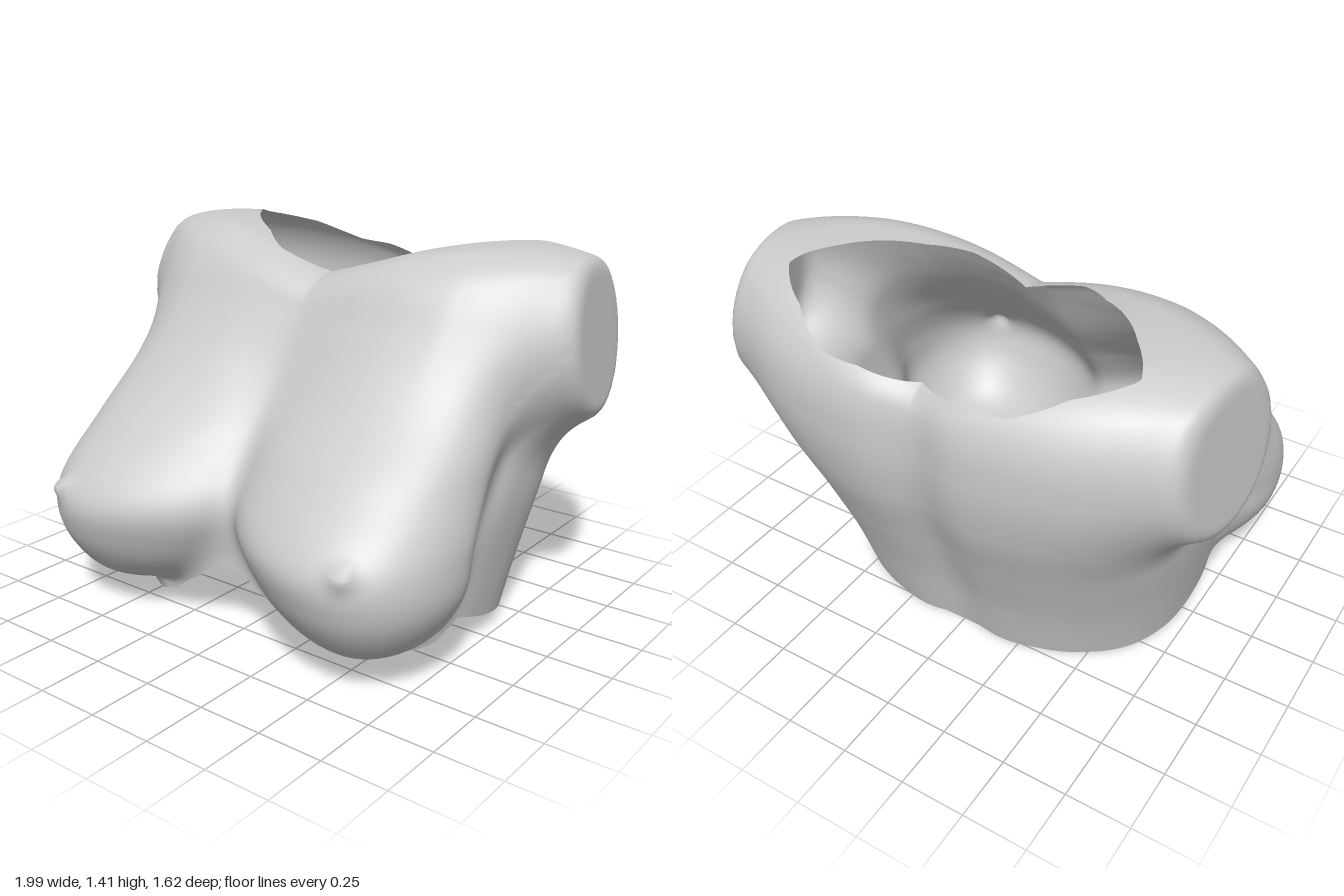
import * as THREE from 'three';

const { clamp, lerp } = THREE.MathUtils;

// Smooth blends for joining and cutting rounded volumes
const smin = (a, b, k) => {
  const h = Math.max(k - Math.abs(a - b), 0) / k;
  return Math.min(a, b) - h * h * k * 0.25;
};
const smax = (a, b, k) => -smin(-a, -b, k);
const norm = (a, b, e) => Math.pow(Math.abs(a) ** e + Math.abs(b) ** e, 1 / e);

// Rib cage sections by height: back z, front z, half width
const ribs = new THREE.CubicInterpolant([-0.1, 0, 0.25, 0.5, 0.75, 1.0, 1.2, 1.32, 1.45], [
  -0.50, 0.55, 0.71,
  -0.53, 0.56, 0.72,
  -0.60, 0.56, 0.76,
  -0.69, 0.53, 0.80,
  -0.78, 0.38, 0.82,
  -0.815, 0.21, 0.85,
  -0.79, 0.08, 0.86,
  -0.71, 0.02, 0.84,
  -0.55, -0.08, 0.78,
], 3, new Float32Array(3));

function ribCage(x, y, z) {
  const [back, front, w] = ribs.evaluate(clamp(y, -0.1, 1.45));
  const cz = (back + front) / 2, rz = (front - back) / 2;
  const up = clamp(y, 0, 1);
  const e = z < cz ? 2.3 + 0.5 * up : 2.4;
  const d = (norm(x / w, (z - cz) / rz, e) - 1) * Math.min(w, rz);
  // spine groove
  return z < cz ? d + (0.03 + 0.025 * up) * Math.exp(-((x / 0.13) ** 2)) : d;
}

// Chest and bust sections by height: inner x, outer x, centre z, front z
const chestRows = new THREE.CubicInterpolant([0.1, 0.14, 0.2, 0.33, 0.48, 0.7, 0.9, 1.13, 1.3, 1.45], [
  0.38, 0.67, 0.42, 0.60,
  0.27, 0.73, 0.42, 0.65,
  0.17, 0.79, 0.42, 0.71,
  0.05, 0.86, 0.41, 0.785,
  -0.03, 0.87, 0.38, 0.80,
  -0.07, 0.84, 0.23, 0.61,
  -0.09, 0.83, 0.05, 0.39,
  -0.12, 0.85, -0.12, 0.20,
  -0.14, 0.85, -0.22, 0.09,
  -0.14, 0.83, -0.30, -0.06,
], 4, new Float32Array(4));

function chest(x, y, z) {
  const [inner, outer, cz, front] = chestRows.evaluate(clamp(y, 0.1, 1.45));
  const w = (outer - inner) / 2, u = (x - (outer + inner) / 2) / w;
  // fuller towards the outside at bust height, shallow behind
  const skew = 0.2 * clamp((1.1 - y) / 0.5, 0, 1) * clamp(u, -1, 1);
  const depth = z > cz ? (front - cz) * (0.98 + skew) : 0.3;
  const d = (norm(u, (z - cz) / depth, 2.05) - 1) * Math.min(w, depth);
  return smax(d, 0.1 - y, 0.07);
}

// Arm stump, flaring towards the body
function arm(x, y, z) {
  const g = clamp(1 - x, 0, 0.4);
  const ry = 0.26 + 0.2 * g, rz = 0.247 + 0.27 * g;
  return (norm((y - 1.09 + 0.22 * g) / ry, (z + 0.355 - 0.22 * g) / rz, 2) - 1) * 0.26;
}

// Whole torso as a distance-like field, mirrored in x
function torsoField(px, y, z) {
  const x = Math.abs(px);
  let d = smin(ribCage(x, y, z), chest(Math.hypot(x, 0.03), y, z), 0.07);
  d = smin(d, arm(x, y, z), 0.16);
  // nipple
  d = smin(d, Math.hypot(x - 0.66, y - 0.5, z - 0.785) - 0.006, 0.09);
  // domed shoulder line, lower at the neck
  const top = 1.28 + 0.13 * Math.sin(Math.min(x / 0.65, 1) * Math.PI / 2) - 0.25 * (z + 0.25) ** 2;
  d = smax(d, y - top, 0.08);
  // flat, slightly tilted cut at the arm
  return smax(d, x - 1 - 0.155 * (z + 0.12) + 0.1 * (y - 1), 0.04);
}

// Leaning axis through the middle of both openings
const origin = new THREE.Vector3(0, 0.7, -0.15);
const axis = new THREE.Vector3(0, 0.924, -0.383);
const forward = new THREE.Vector3(0, 0.383, 0.924);

// Opening outline, front centre to back centre, as [azimuth, elevation]
function rim(points) {
  const list = points.map(([x, y, z]) => {
    const p = new THREE.Vector3(x, y, z).sub(origin);
    const f = p.dot(forward);
    return [Math.atan2(x, f), Math.atan2(p.dot(axis), Math.hypot(x, f))];
  });
  return (a) => {
    let i = 1;
    while (i < list.length - 1 && list[i][0] < a) i++;
    const [a0, e0] = list[i - 1], [a1, e1] = list[i];
    return lerp(e0, e1, clamp((a - a0) / (a1 - a0), 0, 1));
  };
}
const neckRim = rim([
  [0, 1.27, -0.04], [0.22, 1.31, -0.03], [0.35, 1.34, -0.13], [0.58, 1.39, -0.33],
  [0.7, 1.39, -0.5], [0.53, 1.34, -0.64], [0.37, 1.28, -0.755], [0.22, 1.28, -0.76], [0, 1.28, -0.72],
]);
const waistRim = rim([
  [0, 0.26, 0.56], [0.05, 0.26, 0.56], [0.16, 0.2, 0.55], [0.3, 0.1, 0.52], [0.42, 0.06, 0.47],
  [0.55, 0.05, 0.4], [0.68, 0.065, 0.25], [0.72, 0.14, 0.16], [0.72, 0.09, 0],
  [0.67, 0.055, -0.2], [0.5, 0.03, -0.4], [0.3, 0.005, -0.5], [0, 0.005, -0.5],
]);

// Outermost skin point along a ray from the origin
function skinPoint(dir) {
  const at = (r) => torsoField(origin.x + dir.x * r, origin.y + dir.y * r, origin.z + dir.z * r);
  let r = 1.7;
  while (r > 0.1 && at(r) > 0) r -= 0.012;
  let lo = r, hi = r + 0.012;
  for (let i = 0; i < 12; i++) {
    const mid = (lo + hi) / 2;
    if (at(mid) > 0) hi = mid; else lo = mid;
  }
  return dir.clone().multiplyScalar(lo).add(origin);
}

export function createModel() {
  const cols = 240, rows = 140;
  const positions = [], index = [];
  for (let j = 0; j <= rows; j++) {
    for (let i = 0; i < cols; i++) {
      const a = (i / cols) * Math.PI * 2;
      const half = a > Math.PI ? Math.PI * 2 - a : a;
      const e = lerp(waistRim(half), neckRim(half), j / rows);
      const dir = new THREE.Vector3(Math.sin(a) * Math.cos(e), 0, 0)
        .addScaledVector(forward, Math.cos(a) * Math.cos(e))
        .addScaledVector(axis, Math.sin(e));
      positions.push(...skinPoint(dir).toArray());
      if (j < rows) {
        const n = (i + 1) % cols;
        const p = j * cols + i, q = j * cols + n;
        index.push(p, q, q + cols, p, q + cols, p + cols);
      }
    }
  }
  const geometry = new THREE.BufferGeometry();
  geometry.setAttribute('position', new THREE.Float32BufferAttribute(positions, 3));
  geometry.setIndex(index);

  // Stand on the ground, centred front to back
  geometry.computeBoundingBox();
  const { min, max } = geometry.boundingBox;
  geometry.translate(0, -min.y, -(min.z + max.z) / 2);
  geometry.computeVertexNormals();

  const torso = new THREE.Mesh(geometry,
    new THREE.MeshStandardMaterial({ color: 0xcccccc, side: THREE.DoubleSide }));
  torso.name = 'torsoShell';
  const group = new THREE.Group();
  group.name = 'torso';
  group.add(torso);
  return group;
}
